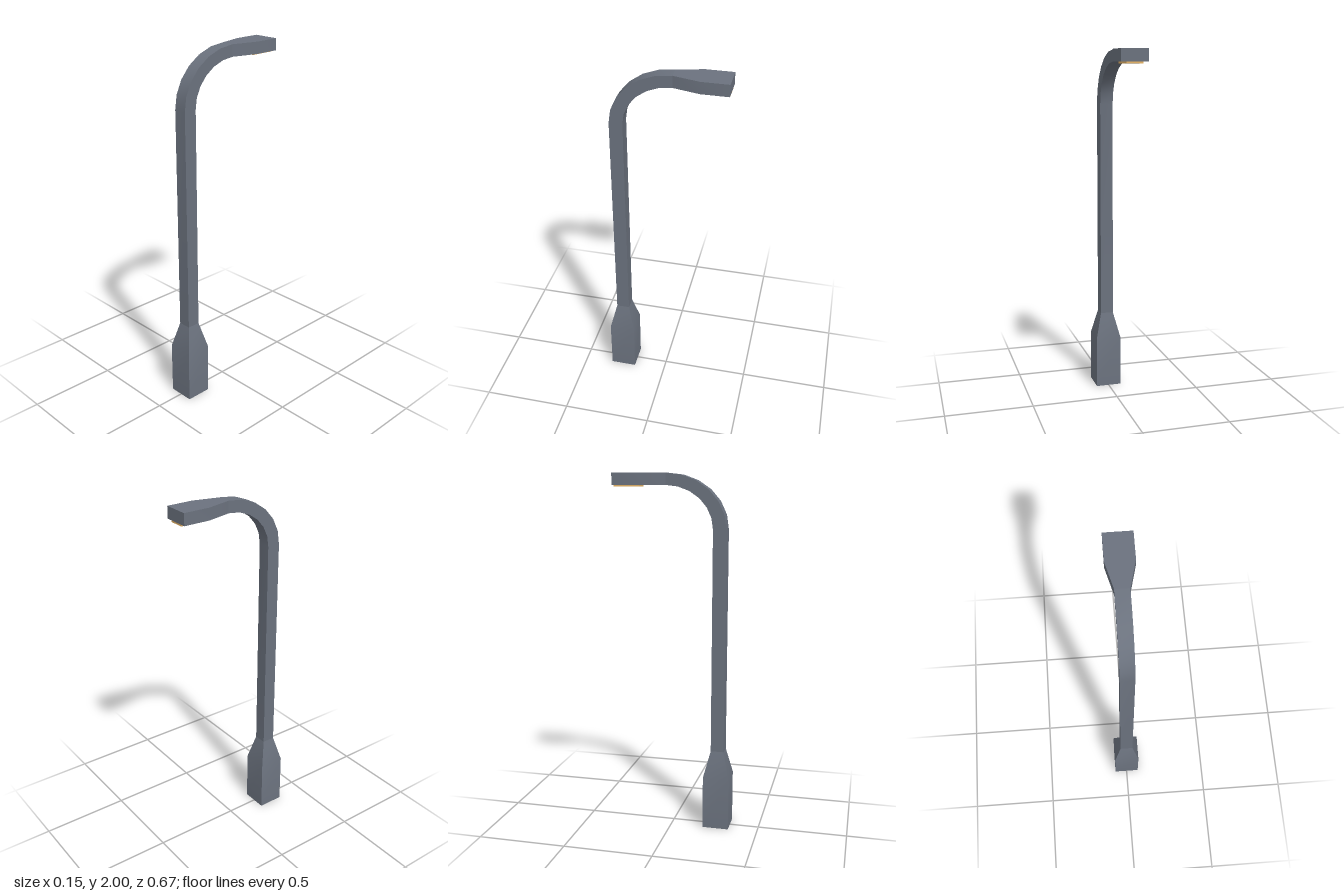
import * as THREE from 'three';
import { toCreasedNormals } from 'three/addons/utils/BufferGeometryUtils.js';

const POLE_Z = 0.26, HALF = 0.037, WIDE = 0.074;
const HEAD_BOTTOM = 1.935, HEAD_TOP = 2, HEAD_START = -0.04;

// Skin a run of four-cornered sections and cap both ends.
// Each section lists its corners clockwise as seen looking along the run.
function loft(sections) {
  const pos = sections.flat(2), index = [], last = (sections.length - 1) * 4;
  for (let i = 0; i < sections.length - 1; i++) {
    for (let k = 0; k < 4; k++) {
      const a = i * 4 + k, b = i * 4 + (k + 1) % 4;
      index.push(a, b, b + 4, a, b + 4, a + 4);
    }
  }
  index.push(0, 2, 1, 0, 3, 2, last, last + 1, last + 2, last, last + 2, last + 3);
  const g = new THREE.BufferGeometry();
  g.setAttribute('position', new THREE.Float32BufferAttribute(pos, 3));
  g.setIndex(index);
  return toCreasedNormals(g, 0.6);
}

// Section spanning half-width w between an outer and an inner [y, z] point
const section = (w, [yo, zo], [yi, zi]) => [[-w, yo, zo], [w, yo, zo], [w, yi, zi], [-w, yi, zi]];
const level = (y, w) => section(w, [y, POLE_Z + w], [y, POLE_Z - w]);

export function createModel() {
  const metal = new THREE.MeshStandardMaterial({ color: 0x6b727e });
  metal.name = 'greyMetal';
  const glow = new THREE.MeshStandardMaterial({ color: 0xe8b566 });
  glow.name = 'amberLight';

  const group = new THREE.Group();
  group.name = 'streetLamp';
  const add = (name, geometry, material) => {
    const mesh = new THREE.Mesh(geometry, material);
    mesh.name = name;
    group.add(mesh);
    return mesh;
  };

  // Square foot with a tapered shoulder
  add('base', loft([level(0, WIDE), level(0.3, WIDE), level(0.45, HALF)]), metal);

  // Straight post that bends over into the arm
  const post = [level(0.45, HALF)];
  const steps = 6;
  for (let i = 0; i <= steps; i++) {
    const t = (i / steps) * Math.PI / 2, c = Math.cos(t), s = Math.sin(t);
    post.push(section(HALF,
      [1.7 + (HEAD_TOP - 1.7) * s, HEAD_START + (POLE_Z + HALF - HEAD_START) * c],
      [1.7 + (HEAD_BOTTOM - 1.7) * s, HEAD_START + (POLE_Z - HALF - HEAD_START) * c]));
  }
  add('postAndArm', loft(post), metal);

  // Flat lamp head, flaring out from the arm
  const slice = (z, w) => section(w, [HEAD_TOP, z], [HEAD_BOTTOM, z]);
  add('lampHead', loft([slice(HEAD_START, HALF), slice(-0.185, WIDE), slice(-0.333, WIDE)]), metal);

  // Light panel under the head
  const panelDepth = 0.0095;
  add('lightPanel', new THREE.BoxGeometry(0.09, panelDepth, 0.144), glow)
    .position.set(0, HEAD_BOTTOM - panelDepth / 2, -0.259);

  return group;
}
